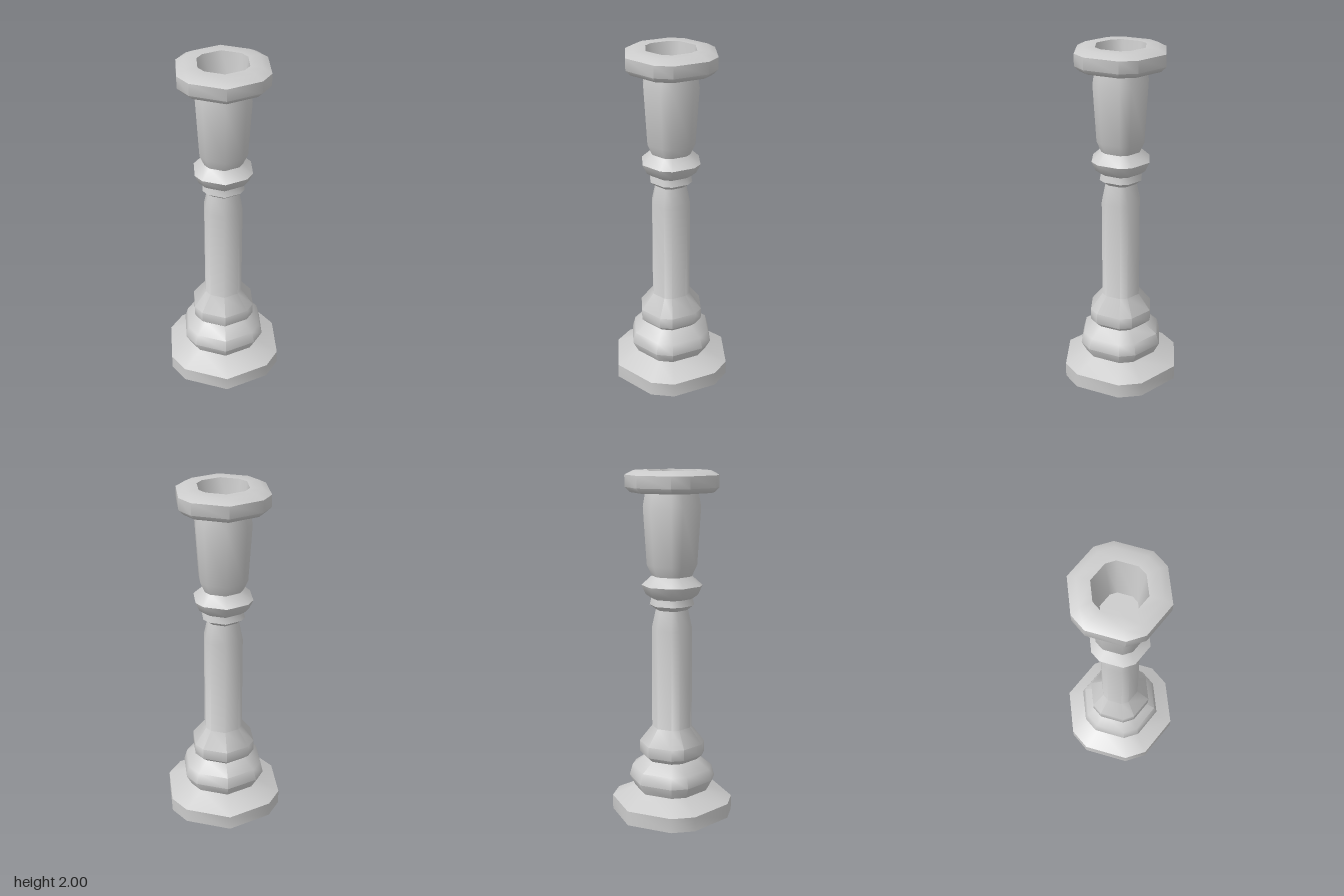
import * as THREE from 'three';
import { toCreasedNormals } from 'three/addons/utils/BufferGeometryUtils.js';

// Ten corners of the uneven cross-section, in sixteenths of a turn
const CORNERS = [0, 2, 3, 5, 6, 8, 10, 11, 13, 14, 16];

const material = new THREE.MeshStandardMaterial({ color: 0xcccccc });

// Turns a [radius, height] profile around the uneven ten-sided section
function turned(name, profile) {
  const points = profile.map(([r, y]) => new THREE.Vector2(r, y));
  const geometry = new THREE.LatheGeometry(points, CORNERS.length - 1);
  const position = geometry.attributes.position;
  CORNERS.forEach((corner, i) => {
    const angle = (corner % 16) * Math.PI / 8;
    points.forEach((p, j) => {
      position.setXYZ(i * points.length + j, p.x * Math.sin(angle), p.y, p.x * Math.cos(angle));
    });
  });
  const mesh = new THREE.Mesh(toCreasedNormals(geometry, THREE.MathUtils.degToRad(48.5)), material);
  mesh.name = name;
  return mesh;
}

export function createModel() {
  const group = new THREE.Group();
  group.name = 'candlestick';
  group.add(
    // Wide foot with a sloping top
    turned('foot', [[0, 0], [0.354, 0], [0.354, 0.085], [0.218, 0.15]]),
    // Stepped mouldings above the foot
    turned('baseMoulding', [[0.218, 0.15], [0.252, 0.215], [0.234, 0.28], [0.157, 0.335]]),
    // Column with a flared bottom ring and tapered neck
    turned('shaft', [[0.157, 0.335], [0.19, 0.365], [0.19, 0.43], [0.116, 0.525], [0.116, 1.11], [0.092, 1.22]]),
    // Thin ring under the bead
    turned('neckRing', [[0.092, 1.22], [0.127, 1.247], [0.118, 1.285]]),
    // Large bead
    turned('bead', [[0.118, 1.285], [0.15, 1.307], [0.174, 1.36], [0.115, 1.413]]),
    // Candle cup, widening upwards
    turned('cup', [[0.115, 1.413], [0.143, 1.475], [0.163, 1.8], [0.149, 1.88]]),
    // Rim with chamfered edges
    turned('rim', [[0.149, 1.88], [0.236, 1.88], [0.264, 1.908], [0.264, 1.975], [0.216, 2], [0.146, 2]]),
    // Tapered candle hole with a flat floor
    turned('socket', [[0.146, 2], [0.105, 1.72], [0, 1.72]])
  );
  return group;
}
